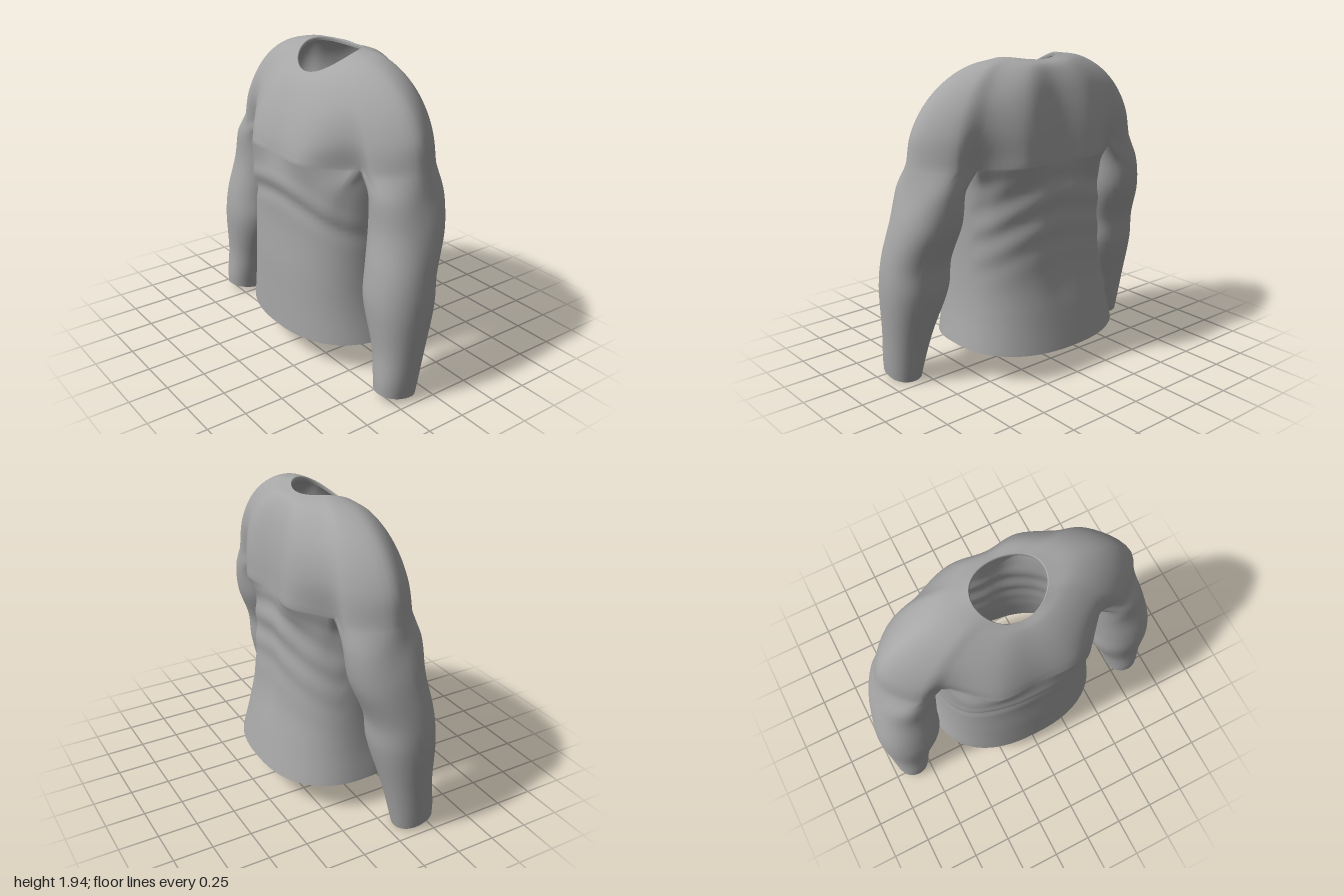
import * as THREE from 'three';
import { mergeGeometries, mergeVertices } from 'three/addons/utils/BufferGeometryUtils.js';

const S = 6; // samples between neighbouring control points
const V = (x, y, z) => new THREE.Vector3(x, y, z);
const mirror = (p) => V(-p.x, p.y, p.z);
const spow = (v, e) => Math.sign(v) * Math.pow(Math.abs(v), e);
const bell = (v, w) => Math.exp(-(v * v) / (w * w));

// Rounded oval, running from startDeg, front to left to back
function oval(count, startDeg, cx, cz, rx, rz, e, yAt) {
  return Array.from({ length: count }, (_, i) => {
    const a = THREE.MathUtils.degToRad(startDeg - (360 * i) / count);
    const x = cx + rx * spow(Math.cos(a), e), z = cz + rz * spow(Math.sin(a), e);
    return V(x, yAt(x, z), z);
  });
}

// Closed symmetric ring from its left half (centre front to centre back)
function halfRing(left) {
  const right = left.slice(1, -1).reverse().map(mirror);
  const curve = new THREE.CatmullRomCurve3([...left, ...right], true);
  const n = (left.length + right.length) * S;
  return Array.from({ length: n }, (_, i) => curve.getPoint(i / n));
}

// Smooth skin through closed rings listed from bottom to top
function loft(rings, steps, shape = (p) => p, flip = false) {
  const n = rings[0].length, rows = (rings.length - 1) * steps;
  const pos = [], index = [];
  const columns = rings[0].map((_, j) => new THREE.CatmullRomCurve3(rings.map((r) => r[j])));
  for (let r = 0; r <= rows; r++) {
    for (let j = 0; j < n; j++) pos.push(...shape(columns[j].getPoint(r / rows)).toArray());
  }
  for (let r = 0; r < rows; r++) {
    for (let j = 0; j < n; j++) {
      const a = r * n + j, b = r * n + ((j + 1) % n), c = b + n, d = a + n;
      if (flip) index.push(a, c, b, a, d, c);
      else index.push(a, b, c, a, c, d);
    }
  }
  const g = new THREE.BufferGeometry();
  g.setAttribute('position', new THREE.Float32BufferAttribute(pos, 3));
  g.setIndex(index);
  return g;
}

// Outline at armpit height, centre front to centre back: x, z, roundness of the dome above
const armpitOutline = [
  [0, .435, 1.38], [.27, .43, 1.42], [.53, .21, 2], [.68, .23, 1.8], [.855, .02, 1.95],
  [.7, -.21, 2], [.53, -.2, 2.1], [.27, -.36, 2.1], [0, -.325, 2.1],
];

// Torso sections: y, half width, front z, back z
const torsoSections = [
  [.18, .588, .456, -.455], [.4, .55, .451, -.405], [.6, .53, .447, -.365],
  [.9, .523, .435, -.342], [1.2, .533, .447, -.342],
];

// Sleeve sections: y, inner x, outer x, front z, back z
const sleeveSections = [
  [.03, .745, .962, .31, .052], [.1, .733, .969, .31, .037], [.3, .685, .982, .297, -.01],
  [.6, .583, 1, .315, -.085], [.78, .575, .987, .298, -.105], [1.02, .545, .943, .256, -.195],
  [1.22, .542, .885, .25, -.222],
];

// Shoulder rings that curve inwards from the armpits to the neck
function shoulderRings() {
  const neck = oval(16, 90, 0, .031, .226, .178, 1, (x, z) => 1.945 - 2.1 * (z + .05) ** 2);
  return [0, 18, 36, 54, 72, 90].map((deg) => {
    const a = THREE.MathUtils.degToRad(deg);
    return halfRing(armpitOutline.map(([x, z, round], i) => {
      const inward = 1 - Math.max(Math.cos(a), 0) ** (2 / round), rise = Math.sin(a) ** (2 / round);
      const y = 1.34 + .12 * Math.max(0, x - .53);
      const p = V(
        THREE.MathUtils.lerp(x, neck[i].x, inward),
        THREE.MathUtils.lerp(y, neck[i].y, rise),
        THREE.MathUtils.lerp(z, neck[i].z, inward));
      // the armpit groove fills out above the arm
      if (x === .53) p.z += Math.sign(z) * .05 * Math.sin(Math.PI * rise);
      return p;
    }));
  });
}

// Soft folds across the chest and a hollow along the spine
function fold(p) {
  const fade = THREE.MathUtils.smoothstep(1.34 - p.y, 0, .1) * THREE.MathUtils.smoothstep(p.y, .3, .8);
  const line = p.y - 1.08 + .7 * p.x * p.x;
  if (p.z > .1) p.z += fade * (.01 * bell(line - .09, .05) - .014 * bell(line, .05));
  if (p.z < -.1) p.z += fade * (.018 * bell(p.x, .09) - .008 * Math.sin(line * 32) * bell(line, .25));
  return p;
}

export function createModel() {
  const group = new THREE.Group();
  const cloth = new THREE.MeshStandardMaterial({ color: 0xa6a6a6, side: THREE.DoubleSide });
  cloth.name = 'grey cloth';
  const add = (name, geometry) => {
    geometry.computeVertexNormals();
    const mesh = new THREE.Mesh(geometry, cloth);
    mesh.name = name;
    group.add(mesh);
  };

  const shoulders = shoulderRings();
  const base = shoulders[0];

  // Underarm seam joining the torso and the sleeve, front to back
  const seam = Array.from({ length: 2 * S + 1 }, (_, i) => {
    const t = i / (2 * S), p = base[2 * S].clone().lerp(base[6 * S], t);
    p.y += .02 * Math.sin(Math.PI * t);
    return p;
  });

  // Torso, open at the hem
  const torso = torsoSections.map(([y, w, zf, zb], k) =>
    oval(12 * S, 90, 0, (zf + zb) / 2, w, (zf - zb) / 2, .83,
      (x, z) => y + (k ? 0 : .022 * (x / w) ** 2 + .027 * Math.min(z, 0))));
  torso.push([
    ...base.slice(0, 2 * S), ...seam, ...base.slice(6 * S + 1, 10 * S),
    ...seam.map(mirror).reverse(), ...base.slice(14 * S + 1),
  ]);

  // Sleeve, open at the cuff
  const sleeve = sleeveSections.map(([y, xi, xo, zf, zb]) => {
    const zc = (zf + zb) / 2, tilt = y < .2 ? .2 : .06;
    return oval(6 * S, 120, (xi + xo) / 2, zc, (xo - xi) / 2, (zf - zb) / 2, .92,
      (x, z) => y + tilt * (z - zc));
  });
  sleeve.push([...base.slice(2 * S, 6 * S), ...seam.slice(1).reverse()]);

  const rightSleeve = sleeve.map((ring) => ring.map(mirror));
  const parts = [
    loft(shoulders, 5), loft(torso, 10, fold),
    loft(sleeve, 6), loft(rightSleeve, 6, undefined, true),
  ];
  add('shirt', mergeVertices(mergeGeometries(parts), 1e-4));

  // Turned-in edges at the neck and the cuffs
  const tuck = (ring, scale, dy) => {
    const c = ring.reduce((s, p) => s.add(p), V(0, 0, 0)).divideScalar(ring.length);
    return ring.map((p) => p.clone().sub(c).multiplyScalar(scale).add(c).add(V(0, dy, 0)));
  };
  const neck = shoulders[shoulders.length - 1];
  add('neckBand', loft([neck, tuck(neck, .975, -.006), tuck(neck, .985, -.025)], 2));
  const cuff = [tuck(sleeve[0], .92, .03), tuck(sleeve[0], .94, -.003), sleeve[0]];
  add('leftCuff', loft(cuff, 2));
  add('rightCuff', loft(cuff.map((r) => r.map(mirror)), 2, undefined, true));

  return group;
}
